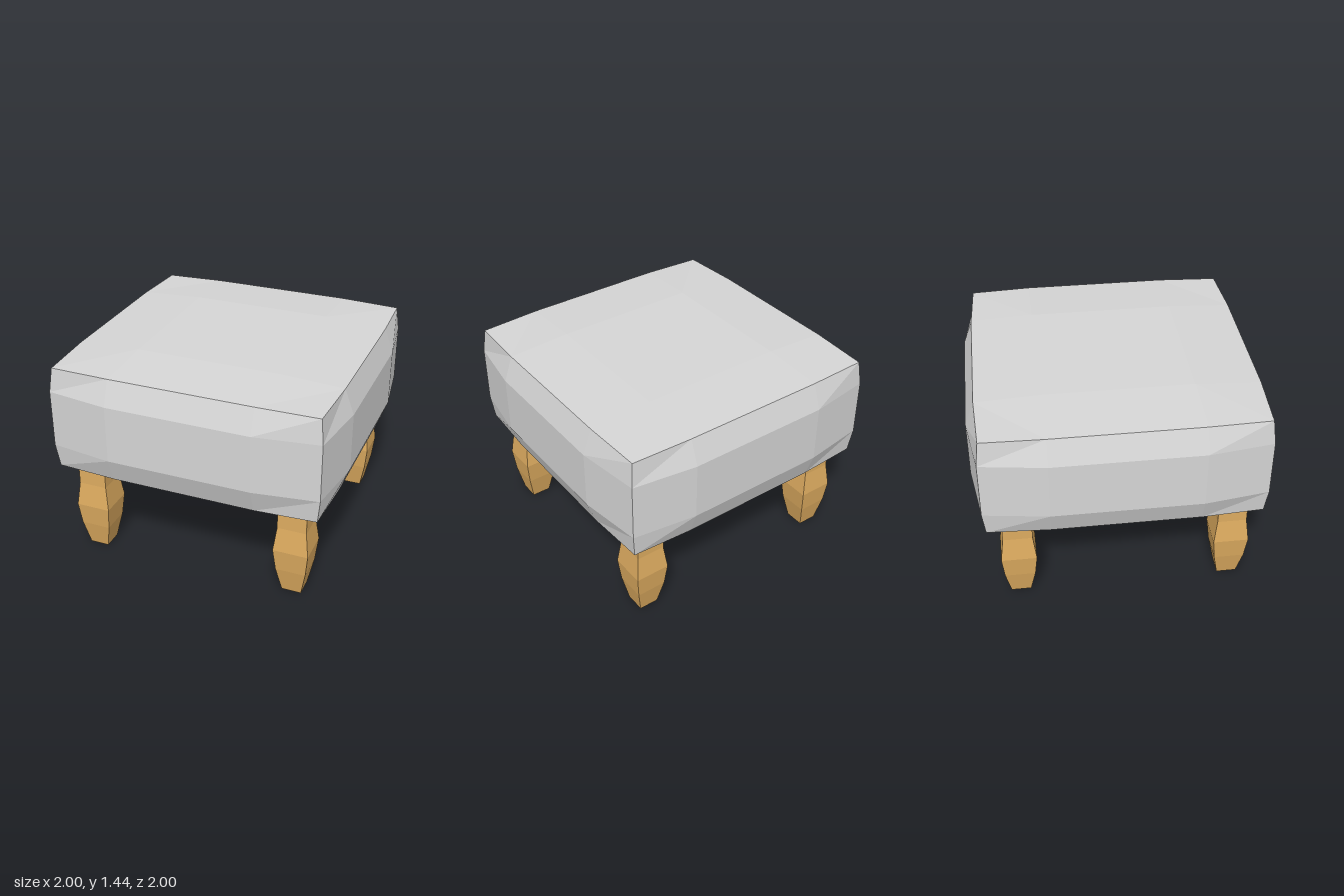
import * as THREE from 'three';

const fabric = new THREE.MeshStandardMaterial({ color: 0xd6d6d6 });
fabric.name = 'greyFabric';
fabric.flatShading = true;
const wood = new THREE.MeshStandardMaterial({ color: 0xdeac60 });
wood.name = 'lightWood';
wood.flatShading = true;

// Padded block: a 3x3x3 box whose faces bulge and whose edges and corners pull in
function cushionGeometry() {
  const geo = new THREE.BoxGeometry(2, 2, 2, 3, 3, 3);
  const pos = geo.attributes.position;
  // Outer extents indexed by how many axes are at the boundary (face, edge, corner)
  const side = [1, 0.937, 0.918];
  const height = [0.395, 0.373, 0.368];
  for (let i = 0; i < pos.count; i++) {
    const p = [pos.getX(i), pos.getY(i), pos.getZ(i)];
    const outer = p.map((v) => Math.abs(v) > 0.9);
    const n = outer.filter(Boolean).length - 1;
    const [x, y, z] = p.map((v, axis) => {
      const isY = axis === 1;
      const size = outer[axis] ? (isY ? height : side)[n] : (isY ? 0.2 : 0.5);
      return Math.sign(v) * size;
    });
    pos.setXYZ(i, x, y, z);
  }
  geo.computeVertexNormals();
  return geo;
}

// Square turned leg: half-width against height
function legGeometry() {
  const profile = [[0, 0], [0.068, 0], [0.104, 0.18], [0.121, 0.34], [0.1, 0.51], [0.1, 0.7]];
  const points = profile.map(([half, y]) => new THREE.Vector2(half * Math.SQRT2, y));
  return new THREE.LatheGeometry(points, 4, Math.PI / 4);
}

export function createModel() {
  const model = new THREE.Group();
  model.name = 'footstool';

  const cushion = new THREE.Mesh(cushionGeometry(), fabric);
  cushion.name = 'cushion';
  cushion.position.y = 1.045;
  model.add(cushion);

  const legGeo = legGeometry();
  for (const [zName, z] of [['front', 0.74], ['back', -0.72]]) {
    for (const [xName, x] of [['Left', 0.728], ['Right', -0.728]]) {
      const leg = new THREE.Mesh(legGeo, wood);
      leg.name = `${zName}${xName}Leg`;
      leg.position.set(x, 0, z);
      model.add(leg);
    }
  }
  return model;
}
